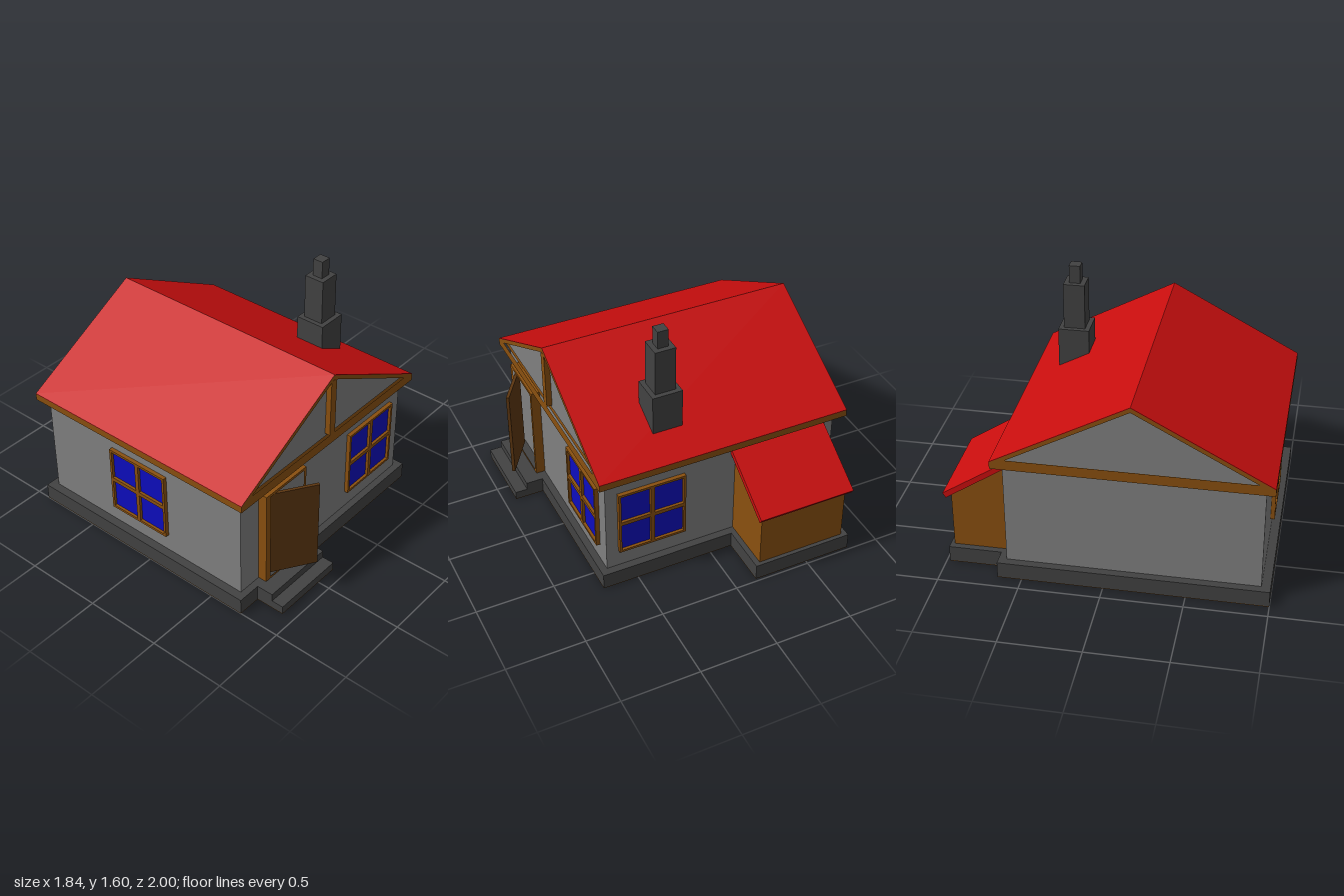
import * as THREE from 'three';

const flat = (name, color) => {
  const m = new THREE.MeshStandardMaterial({ color });
  m.name = name;
  return m;
};

export function createModel() {
  const house = new THREE.Group();
  house.name = 'house';

  const wall = flat('wall grey', 0x808080);
  const stone = flat('dark stone', 0x424242);
  const red = flat('roof red', 0xc80e0e);
  const wood = flat('wood brown', 0x8a500f);
  const doorWood = flat('door brown', 0x5c3610);
  const blue = flat('window blue', 0x0d0dbe);

  const add = (name, geo, mat, parent = house) => {
    const mesh = new THREE.Mesh(geo, mat);
    mesh.name = name;
    parent.add(mesh);
    return mesh;
  };

  // Box given by its limits on each axis
  const box = (name, mat, [x0, x1], [y0, y1], [z0, z1], parent) => {
    const mesh = add(name, new THREE.BoxGeometry(x1 - x0, y1 - y0, z1 - z0), mat, parent);
    mesh.position.set((x0 + x1) / 2, (y0 + y1) / 2, (z0 + z1) / 2);
    return mesh;
  };

  // Outline of [z, y] points, extruded from x0 to x1
  const prism = (name, mat, x0, x1, points, holes = []) => {
    const toVec = ([z, y]) => new THREE.Vector2(-z, y);
    const shape = new THREE.Shape(points.map(toVec));
    holes.forEach((h) => shape.holes.push(new THREE.Path(h.map(toVec))));
    const geo = new THREE.ExtrudeGeometry(shape, { depth: x1 - x0, bevelEnabled: false });
    geo.rotateY(Math.PI / 2).translate(x0, 0, 0);
    return add(name, geo, mat);
  };

  // Foundation with its steps, and the wooden underside
  const footings = [
    ['foundation', [-0.91, 0.73], 0.105, [-0.65, 1.0]],
    ['shedFoundation', [-0.8, -0.145], 0.105, [-0.98, -0.65]],
    ['upperStep', [0.73, 0.84], 0.105, [0.355, 0.845]],
    ['lowerStep', [0.84, 0.92], 0.055, [0.355, 0.845]],
  ];
  for (const [name, xs, top, zs] of footings) {
    box(name, stone, xs, [0.004, top], zs);
    box(name + 'Underside', wood, xs, [0, 0.004], zs);
  }

  // Walls
  box('walls', wall, [-0.86, 0.685], [0.105, 0.79], [-0.6, 0.945]);

  // Main roof: eaves, framed gables, and two thin red slopes
  const ridgeZ = 0.17, ridgeY = 1.272, eaveY = 0.828, run = 0.83;
  const slope = (ridgeY - eaveY) / run;
  const rim = 0.028;
  const half = (0.85 - ridgeY + rim) / -slope; // half width of the gable opening
  const front = ridgeZ + run, back = ridgeZ - run;
  const outline = [[front, 0.785], [front, eaveY], [ridgeZ, ridgeY], [back, eaveY], [back, 0.785]];
  const opening = [[ridgeZ + half, 0.85], [ridgeZ, ridgeY - rim], [ridgeZ - half, 0.85]];

  box('eaves', wood, [-0.88, 0.7], [0.785, eaveY], [back, front]);
  prism('gableFrameLeft', wood, 0.7, 0.74, outline, [opening]);
  prism('gableFrameRight', wood, -0.92, -0.88, outline, [opening]);
  prism('gableWalls', wall, -0.885, 0.705, [
    [front - 0.03, eaveY], [ridgeZ, ridgeY - 0.014], [back + 0.03, eaveY],
  ]);
  box('gablePost', wood, [0.7, 0.74], [0.85, 1.236], [ridgeZ - 0.025, ridgeZ + 0.025]);
  for (const side of [1, -1]) {
    const eaveZ = ridgeZ + side * run;
    prism(side > 0 ? 'frontRoofSlope' : 'backRoofSlope', red, -0.92, 0.74, [
      [eaveZ, eaveY], [ridgeZ, ridgeY], [ridgeZ, ridgeY + 0.004], [eaveZ, eaveY + 0.004],
    ]);
  }

  // Chimney in three tiers
  [[0.195, 0.85, 1.19], [0.135, 1.19, 1.485], [0.07, 1.485, 1.6]].forEach(([w, y0, y1], i) => {
    box('chimneyTier' + (i + 1), stone, [0.213 - w / 2, 0.213 + w / 2], [y0, y1],
      [-0.375 - w / 2, -0.375 + w / 2]);
  });

  // Back shed with a lean-to roof
  prism('shed', wood, -0.76, -0.18, [[-0.6, 0.105], [-0.6, 0.72], [-0.955, 0.485], [-0.955, 0.105]]);
  prism('shedRoof', red, -0.79, -0.15, [[-0.6, 0.71], [-0.6, 0.75], [-1.0, 0.49], [-0.98, 0.46]]);

  // Windows: a four-pane frame over one thin sheet of glass
  const rect = (Type, x0, y0, x1, y1) => new Type([
    [x0, y0], [x1, y0], [x1, y1], [x0, y1],
  ].map(([x, y]) => new THREE.Vector2(x, y)));
  const addWindow = (name, x, z, turn) => {
    const group = new THREE.Group();
    group.name = name;
    const w = 0.222, h = 0.225, border = 0.016, bar = 0.013;
    const shape = rect(THREE.Shape, -w, -h, w, h);
    for (const sx of [-1, 1]) {
      for (const sy of [-1, 1]) {
        shape.holes.push(rect(THREE.Path, sx * bar, sy * bar, sx * (w - border), sy * (h - border)));
      }
    }
    add('windowFrame', new THREE.ExtrudeGeometry(shape, { depth: 0.026, bevelEnabled: false }), wood, group);
    box('windowGlass', blue, [-w + 0.01, w - 0.01], [-h + 0.01, h - 0.01], [0, 0.008], group);
    group.position.set(x, 0.45, z);
    group.rotation.y = turn;
    house.add(group);
  };
  addWindow('frontWindow', -0.108, 0.945, 0);
  addWindow('sideWindow', 0.685, -0.283, Math.PI / 2);
  addWindow('backWindow', 0.385, -0.6, Math.PI);

  // Door frame
  prism('doorFrame', wood, 0.685, 0.745,
    [[0.785, 0.108], [0.785, 0.76], [0.42, 0.76], [0.42, 0.108]],
    [[[0.745, 0.122], [0.745, 0.742], [0.442, 0.742], [0.442, 0.122]]]);

  // Door standing ajar on its front hinge
  const hinge = new THREE.Group();
  hinge.name = 'door';
  box('doorPanel', doorWood, [0, 0.31], [0.135, 0.74], [-0.01, 0.01], hinge);
  hinge.position.set(0.715, 0, 0.735);
  hinge.rotation.y = Math.atan2(0.255, 0.165);
  house.add(hinge);

  return house;
}
